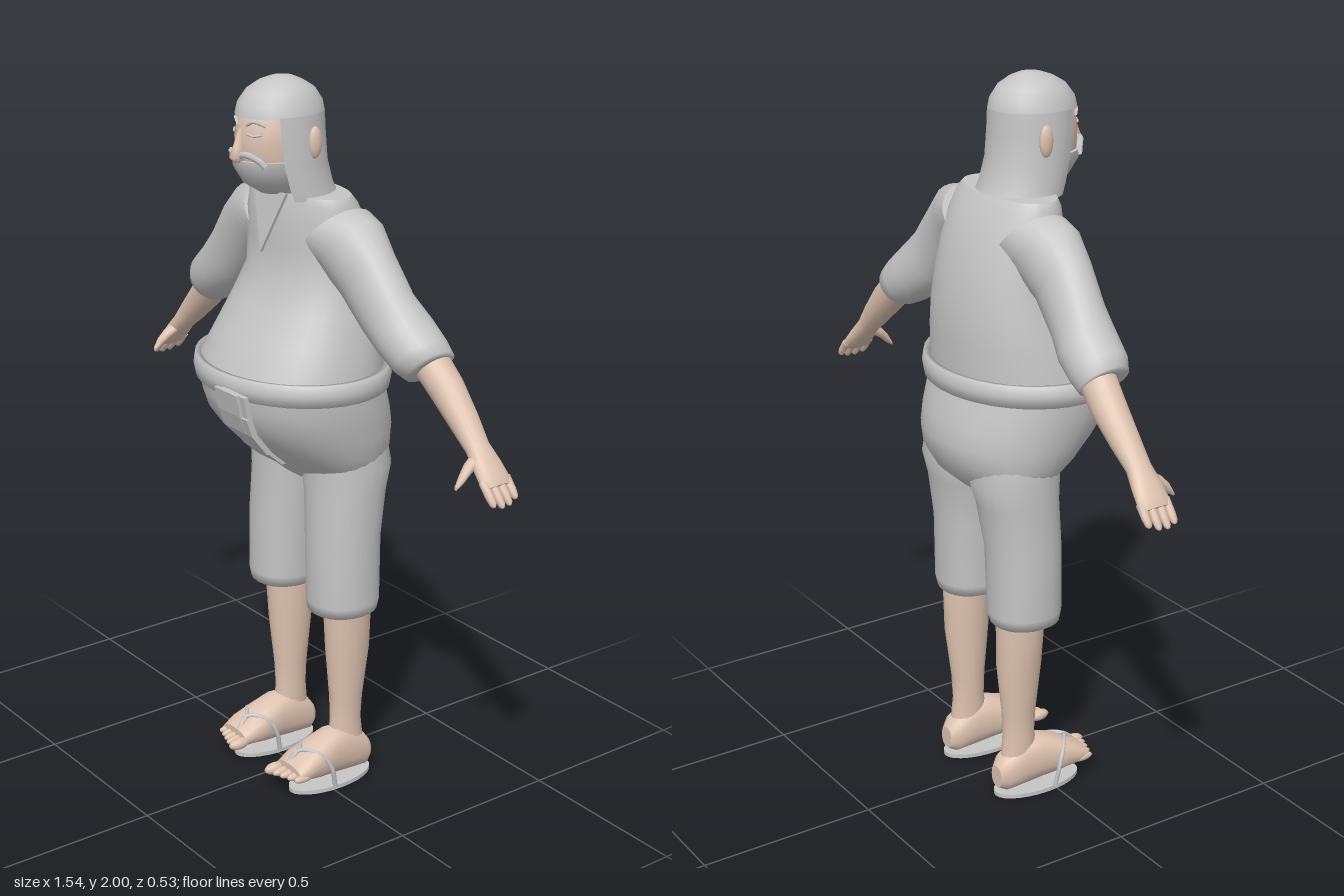
import * as THREE from 'three';

const cloth = new THREE.MeshStandardMaterial({ color: 0xc6c6c6, side: THREE.DoubleSide });
cloth.name = 'grey cloth';
const skin = new THREE.MeshStandardMaterial({ color: 0xdec3b0 });
skin.name = 'skin';

const Z = new THREE.Vector3(0, 0, 1), X = new THREE.Vector3(1, 0, 0), Y = new THREE.Vector3(0, 1, 0);

// Skin a tube through elliptical sections [x, y, z, ru, rv]; travel runs along u x v.
function loft(sections, u, v, { n = 24, p = 1, arc = null } = {}) {
  const pos = [], index = [];
  const [a0, a1] = arc || [0, Math.PI * 2];
  const cols = n + 1;
  const soft = t => Math.sign(t) * Math.pow(Math.abs(t), p);
  const ring = ([x, y, z, ru, rv]) => {
    for (let j = 0; j < cols; j++) {
      const a = a0 + (a1 - a0) * (arc ? j : j % n) / n;
      const c = soft(Math.cos(a)) * ru, s = soft(Math.sin(a)) * rv;
      pos.push(x + u.x * c + v.x * s, y + u.y * c + v.y * s, z + u.z * c + v.z * s);
    }
  };
  sections.forEach(ring);
  const wrap = j => (arc ? j : j % n);
  for (let i = 0; i < sections.length - 1; i++) {
    for (let j = 0; j < n; j++) {
      const a = i * cols + j, b = i * cols + wrap(j + 1), c = a + cols, d = b + cols;
      index.push(a, b, c, b, d, c);
    }
  }
  // flat end caps
  if (!arc) {
    [0, sections.length - 1].forEach((k, end) => {
      const base = pos.length / 3;
      ring(sections[k]);
      pos.push(...sections[k].slice(0, 3));
      for (let j = 0; j < n; j++) {
        const a = base + j, b = base + (j + 1) % n;
        index.push(base + cols, ...(end ? [a, b] : [b, a]));
      }
    });
  }
  const g = new THREE.BufferGeometry();
  g.setAttribute('position', new THREE.Float32BufferAttribute(pos, 3));
  g.setIndex(index);
  g.computeVertexNormals();
  return g;
}

// Upright loft from rows [y, centre x, half width, back z, front z], lowest first
const column = (rows, opt) => loft(
  rows.map(([y, x, rx, zb, zf]) => [x, y, (zb + zf) / 2, (zf - zb) / 2, rx]), Z, X, opt);

// Loft along a sloping direction in the x-y plane
function limb(sections, dx, dy, n = 16) {
  const w = new THREE.Vector3(dx, dy, 0).normalize();
  return loft(sections, Z, w.clone().cross(Z), { n });
}

const tube = (pts, r) => new THREE.TubeGeometry(
  new THREE.CatmullRomCurve3(pts.map(q => new THREE.Vector3(...q))), 14, r, 6);

function mirrored(geometry) {
  const g = geometry.clone().scale(-1, 1, 1), ix = g.index.array;
  for (let i = 0; i < ix.length; i += 3) [ix[i], ix[i + 1]] = [ix[i + 1], ix[i]];
  g.computeVertexNormals();
  return g;
}

export function createModel() {
  const model = new THREE.Group();
  model.name = 'robedMan';
  const add = (name, g, mat) => {
    const m = new THREE.Mesh(g, mat);
    m.name = name;
    model.add(m);
    return m;
  };
  const pair = (name, g, mat) => {
    add('left' + name, g, mat);
    add('right' + name, mirrored(g), mat);
  };

  // Shirt
  add('shirt', column([
    [1.19, 0, 0.265, -0.215, 0.235], [1.24, 0, 0.26, -0.215, 0.228], [1.32, 0, 0.243, -0.217, 0.175],
    [1.40, 0, 0.223, -0.215, 0.125], [1.48, 0, 0.205, -0.203, 0.08], [1.56, 0, 0.2, -0.183, 0.077],
    [1.63, 0, 0.197, -0.155, 0.072], [1.68, 0, 0.19, -0.125, 0.062], [1.70, 0, 0.175, -0.11, 0.055],
  ], { n: 36, p: 0.88 }), cloth);

  // Pointed collar
  const vee = new THREE.Shape([[-0.07, 0], [0, -0.165], [0.07, 0]].map(q => new THREE.Vector2(...q)));
  const collar = add('collar', new THREE.ExtrudeGeometry(vee, { depth: 0.008, bevelEnabled: false }), cloth);
  collar.position.set(0, 1.705, 0.068);
  collar.rotation.x = -0.19;

  // Trousers: hips and legs
  add('trouserHips', column([
    [0.9, 0, 0.16, -0.17, 0.0], [0.94, 0, 0.215, -0.215, 0.045], [1.0, 0, 0.238, -0.25, 0.125],
    [1.05, 0, 0.248, -0.257, 0.175], [1.1, 0, 0.256, -0.25, 0.213], [1.15, 0, 0.262, -0.235, 0.23],
    [1.2, 0, 0.262, -0.22, 0.235],
  ], { n: 36, p: 0.93 }), cloth);
  pair('TrouserLeg', column([
    [0.54, 0.134, 0.07, -0.14, 0.0], [0.53, 0.134, 0.09, -0.165, 0.025], [0.56, 0.134, 0.096, -0.172, 0.03],
    [0.75, 0.13, 0.1, -0.175, 0.03], [0.88, 0.122, 0.108, -0.195, 0.025], [0.95, 0.117, 0.115, -0.215, 0.03],
    [1.03, 0.115, 0.11, -0.2, 0.03],
  ], { p: 0.92 }), cloth);

  // Loose belt
  const band = [[0.272, -0.028], [0.29, -0.03], [0.296, 0], [0.29, 0.03], [0.272, 0.028], [0.272, -0.028]];
  add('belt', new THREE.LatheGeometry(band.map(q => new THREE.Vector2(...q)), 40)
    .scale(1, 1, 0.84).translate(0, 1.215, 0.004), cloth);

  // Cloth end hanging over the belly, with folds
  const hang = [[0.262, 1.21], [0.25, 1.15], [0.232, 1.1], [0.185, 1.04], [0.14, 1.0]];
  const strip = (x, w, from, to, t) => {
    const run = hang.slice(from, to);
    const s = new THREE.Shape([...run, ...run.map(([z, y]) => [z - t, y]).reverse()]
      .map(([z, y]) => new THREE.Vector2(-z, y)));
    return new THREE.ExtrudeGeometry(s, { depth: w, bevelEnabled: false }).rotateY(Math.PI / 2).translate(x, 0, 0);
  };
  add('sashEnd', strip(0.03, 0.11, 0, 5, 0.014), cloth);
  add('sashFold', strip(0.02, 0.1, 0, 3, 0.012).translate(0, 0.002, 0.009), cloth);
  add('sashLowerFold', strip(0.085, 0.06, 1, 4, 0.01).translate(0, 0, 0.007), cloth);

  // Sleeves
  pair('Sleeve', limb([
    [0.13, 1.6, -0.045, 0.1, 0.1], [0.195, 1.578, -0.042, 0.09, 0.105], [0.265, 1.52, -0.04, 0.074, 0.098],
    [0.34, 1.437, -0.047, 0.072, 0.088], [0.4, 1.385, -0.058, 0.082, 0.081], [0.455, 1.345, -0.063, 0.08, 0.075],
    [0.485, 1.323, -0.07, 0.07, 0.066], [0.487, 1.322, -0.075, 0.05, 0.046],
  ], 0.75, -0.66, 24), cloth);

  // Forearms, hands, fingers and thumbs
  pair('Forearm', limb([
    [0.45, 1.35, -0.08, 0.05, 0.05], [0.53, 1.275, -0.088, 0.046, 0.047], [0.6, 1.208, -0.088, 0.04, 0.038],
    [0.655, 1.155, -0.086, 0.034, 0.028], [0.69, 1.12, -0.087, 0.043, 0.024], [0.72, 1.088, -0.088, 0.047, 0.02],
    [0.733, 1.074, -0.088, 0.042, 0.014],
  ], 0.72, -0.7), skin);
  [-0.126, -0.101, -0.076, -0.052].forEach((z, i) => {
    const k = [0.82, 0.97, 1, 0.9][i], at = (t, r) => [0.718 + 0.05 * t * k, 1.09 - 0.058 * t * k, z, r, r];
    pair('Finger' + (i + 1), limb([at(0, 0.012), at(0.6, 0.0115), at(0.9, 0.009), at(1, 0.004)], 0.65, -0.75, 8), skin);
  });
  pair('Thumb', loft([
    [0.672, 1.135, -0.066, 0.018, 0.018], [0.676, 1.115, -0.035, 0.016, 0.017],
    [0.68, 1.093, -0.012, 0.011, 0.015], [0.68, 1.075, 0.004, 0.005, 0.006],
  ], X, Y, { n: 10 }), skin);

  // Calves and feet
  pair('Calf', column([
    [0.09, 0.132, 0.038, -0.145, -0.03], [0.18, 0.13, 0.037, -0.135, -0.04], [0.25, 0.131, 0.041, -0.138, -0.037],
    [0.4, 0.134, 0.054, -0.155, -0.022], [0.52, 0.136, 0.06, -0.156, -0.015], [0.56, 0.136, 0.06, -0.156, -0.015],
  ], { n: 18 }), skin);
  pair('Foot', loft([
    [0.132, 0.06, -0.162, 0.025, 0.032], [0.132, 0.068, -0.14, 0.043, 0.052], [0.132, 0.088, -0.08, 0.048, 0.07],
    [0.132, 0.092, -0.03, 0.053, 0.068], [0.132, 0.084, 0.03, 0.06, 0.053], [0.132, 0.077, 0.08, 0.063, 0.036],
    [0.132, 0.068, 0.112, 0.056, 0.024],
  ], X, Y, { n: 20, p: 0.85 }), skin);
  [0, 1, 2, 3, 4].forEach(i => {
    const r = i ? 0.012 : 0.017;
    const toe = new THREE.SphereGeometry(1, 10, 8).scale(r, r, 0.034)
      .translate(0.087 + i * 0.023 + (i ? 0.003 : 0), 0.064, 0.128 - i * 0.008);
    pair('Toe' + (i + 1), toe, skin);
  });

  // Sandals: sole and forked strap
  const sole = new THREE.Shape();
  sole.absellipse(0, 0, 0.066, 0.135, 0, Math.PI * 2);
  pair('SandalSole', new THREE.CylinderGeometry(1, 1, 0.012, 28).scale(0.064, 1, 0.136)
    .translate(0.133, 0.006, -0.03), cloth);
  for (const s of [-1, 1]) {
    pair(s < 0 ? 'InnerStrap' : 'OuterStrap', tube([
      [0.12, 0.09, 0.104], [0.126, 0.119, 0.075], [0.132 + s * 0.045, 0.116, 0.035],
      [0.132 + s * 0.064, 0.075, 0.01], [0.132 + s * 0.062, 0.01, -0.005]], 0.0065), cloth);
  }

  // Head, ears and nose
  add('head', column([
    [1.69, 0, 0.05, -0.05, 0.06], [1.73, 0, 0.075, -0.05, 0.13], [1.78, 0, 0.09, -0.06, 0.165],
    [1.85, 0, 0.096, -0.065, 0.168], [1.92, 0, 0.09, -0.06, 0.155], [1.96, 0, 0.06, -0.03, 0.11],
  ]), skin);
  pair('Ear', new THREE.SphereGeometry(1, 12, 10).scale(0.013, 0.042, 0.02).translate(0.11, 1.84, 0.012), skin);
  add('nose', column([
    [1.79, 0, 0.007, 0.15, 0.185], [1.805, 0, 0.017, 0.15, 0.2], [1.83, 0, 0.012, 0.15, 0.19],
    [1.875, 0, 0.008, 0.15, 0.172],
  ], { n: 10 }), skin);

  // Beard, moustache, brows and closed eyes
  add('beard', column([
    [1.7, 0, 0.045, -0.02, 0.1], [1.73, 0, 0.08, -0.05, 0.147], [1.77, 0, 0.097, -0.055, 0.172],
    [1.795, 0, 0.1, -0.055, 0.175],
  ]), cloth);
  pair('Moustache', tube([[0, 1.805, 0.177], [0.03, 1.815, 0.172], [0.06, 1.8, 0.15], [0.072, 1.785, 0.14]], 0.009), cloth);
  pair('Brow', tube([[0.018, 1.888, 0.162], [0.04, 1.898, 0.153], [0.066, 1.888, 0.133]], 0.005), cloth);
  pair('Eye', tube([[0.024, 1.866, 0.164], [0.042, 1.862, 0.157], [0.06, 1.866, 0.143]], 0.003), cloth);

  // Head cloth: cap and curtain open at the face
  add('cap', column([
    [1.905, 0, 0.106, -0.078, 0.164], [1.935, 0, 0.1, -0.072, 0.157], [1.965, 0, 0.082, -0.052, 0.134],
    [1.985, 0, 0.057, -0.02, 0.1], [1.996, 0, 0.03, 0.005, 0.068], [2.0, 0, 0.006, 0.03, 0.042],
  ]), cloth);
  add('headCurtain', column([
    [1.69, 0, 0.12, -0.115, 0.125], [1.72, 0, 0.117, -0.1, 0.135], [1.78, 0, 0.113, -0.084, 0.15],
    [1.85, 0, 0.111, -0.079, 0.16], [1.91, 0, 0.106, -0.078, 0.164],
  ], { n: 28, arc: [Math.PI * 0.32, Math.PI * 1.68] }), cloth);
  return model;
}
